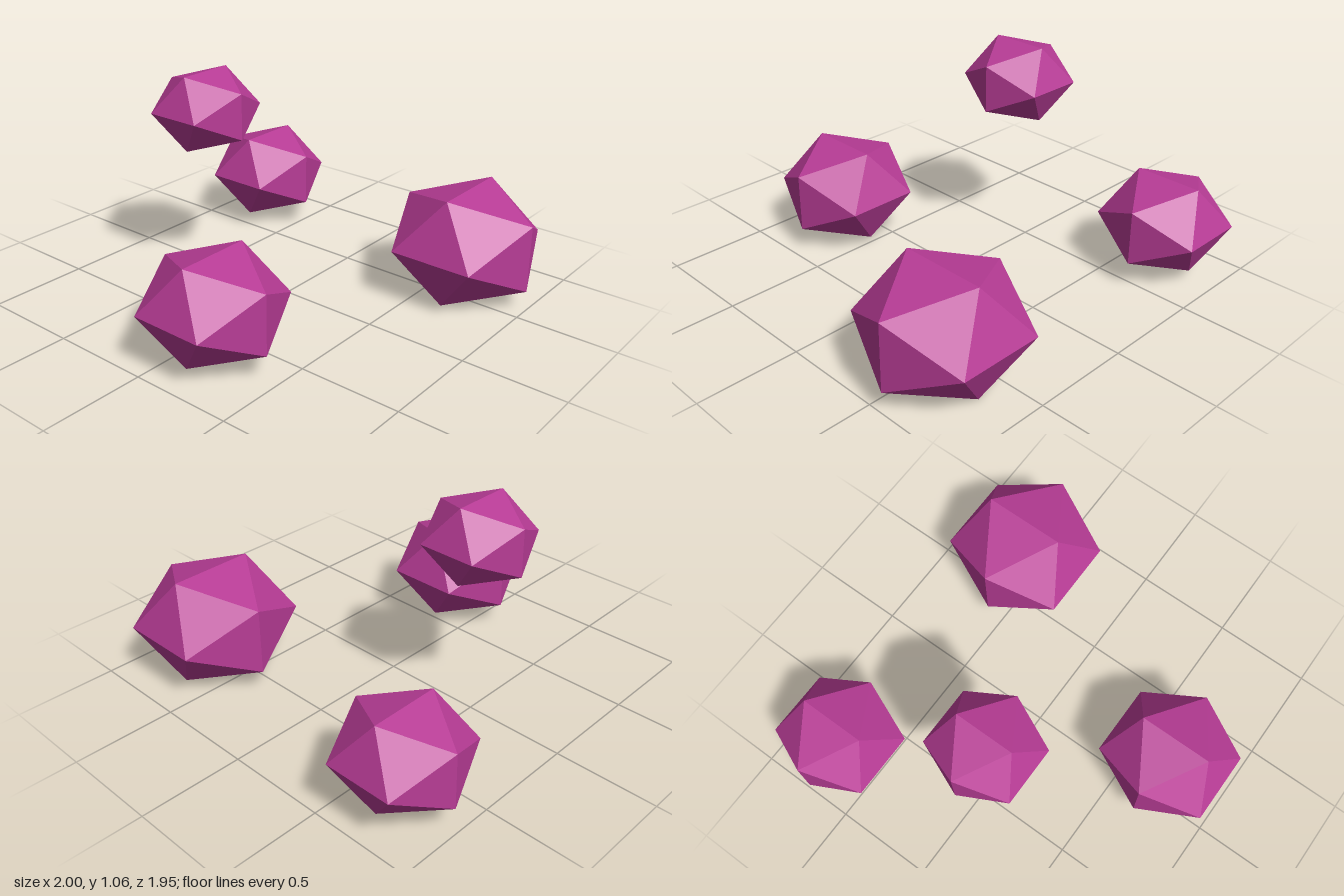
import * as THREE from 'three';

export function createModel() {
  const group = new THREE.Group();
  group.name = 'floatingGems';
  const magenta = new THREE.MeshStandardMaterial({ color: 0xb83c96 });
  magenta.name = 'magenta';

  // One faceted gem, squashed to 0.8 of its height
  const gem = new THREE.IcosahedronGeometry(1, 0);
  gem.rotateY(Math.PI / 2);
  gem.scale(1, 0.8, 1);
  gem.computeVertexNormals();

  // name, radius, centre
  const gems = [
    ['upperGem', 0.274, -0.472, 0.875, 0.052],
    ['backRightGem', 0.324, -0.724, 0.273, -0.703],
    ['frontGem', 0.349, 0.154, 0.273, 0.677],
    ['backLeftGem', 0.4, 0.659, 0.273, -0.578],
  ];
  for (const [name, radius, x, y, z] of gems) {
    const mesh = new THREE.Mesh(gem, magenta);
    mesh.name = name;
    mesh.scale.setScalar(radius);
    mesh.position.set(x, y, z);
    group.add(mesh);
  }
  return group;
}
